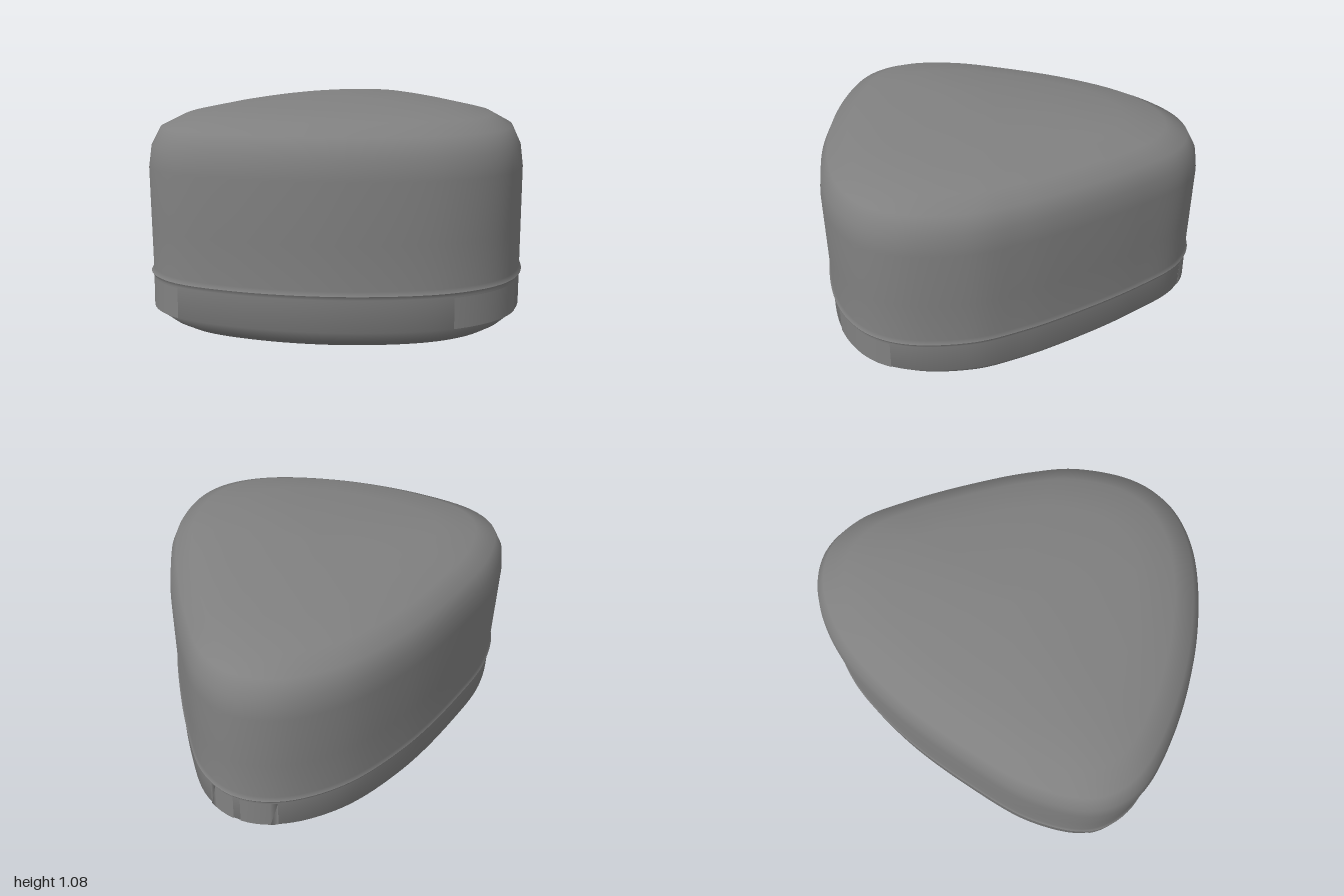
import * as THREE from 'three';

// Plan outline (x, z) of the rounded triangle, starting at the back corner
const PLAN = [
  [-0.15, -1], [0.05, -0.94], [0.275, -0.735], [0.55, -0.41], [0.7, -0.2], [0.82, 0.02], [0.88, 0.34],
  [0.825, 0.55], [0.63, 0.75], [0.19, 0.93], [-0.3, 0.99], [-0.65, 0.94], [-0.815, 0.8],
  [-0.885, 0.5], [-0.85, 0.13], [-0.745, -0.34], [-0.58, -0.71], [-0.36, -0.935],
];
const CX = -0.05, CZ = 0.05; // point the outline shrinks towards

function outline(count) {
  const curve = new THREE.CatmullRomCurve3(
    PLAN.map(([x, z]) => new THREE.Vector3(x, 0, z)), true, 'centripetal');
  return curve.getSpacedPoints(count).slice(0, count);
}

// Skin over a stack of scaled outlines; rings are [height, scale], bottom to top
function skin(points, rings, closed) {
  const n = points.length, pos = [], index = [];
  for (const [y, s] of rings)
    for (const p of points) pos.push(CX + (p.x - CX) * s, y, CZ + (p.z - CZ) * s);
  for (let r = 0; r < rings.length - 1; r++)
    for (let i = 0; i < (closed ? n : n - 1); i++) {
      const a = r * n + i, b = r * n + ((i + 1) % n);
      if (rings[r][1] > 0) index.push(a, a + n, b);
      if (rings[r + 1][1] > 0) index.push(b, a + n, b + n);
    }
  const geo = new THREE.BufferGeometry();
  geo.setAttribute('position', new THREE.Float32BufferAttribute(pos, 3));
  geo.setIndex(index);
  geo.computeVertexNormals();
  return geo;
}

export function createModel() {
  const group = new THREE.Group();
  const grey = new THREE.MeshStandardMaterial({ color: 0x808080 });
  grey.name = 'grey';
  const pts = outline(160);
  const add = (name, points, rings, closed = true) => {
    const mesh = new THREE.Mesh(skin(points, rings, closed), grey);
    mesh.name = name;
    group.add(mesh);
  };

  // Shallow tray with a bevelled underside, flaring to the seam lip
  add('base', pts, [[0, 0], [0, 0.5], [0.004, 0.868], [0.04, 0.925], [0.105, 0.995],
    [0.255, 0.995], [0.275, 1.006]]);

  // Tall lid with a seam lip and a softly domed top
  add('lid', pts, [[0.275, 1.006], [0.295, 0.995], [0.5, 0.995], [0.78, 0.995], [0.88, 0.98],
    [0.965, 0.935], [1.015, 0.825], [1.05, 0.62], [1.075, 0.3], [1.078, 0]]);

  // Thin grip plates near the three corners
  const grips = {
    frontGrip: (p) => p.z > 0.5 && p.x > -0.83 && p.x < -0.58,
    sideGrip: (p) => p.x > 0.64 && p.z > 0.38 && p.z < 0.75,
    backGrip: (p) => p.z < -0.85 && p.x > -0.36 && p.x < 0.02,
  };
  for (const [name, inside] of Object.entries(grips))
    add(name, pts.filter(inside), [[0.105, 0.999], [0.25, 0.996]], false);

  return group;
}
